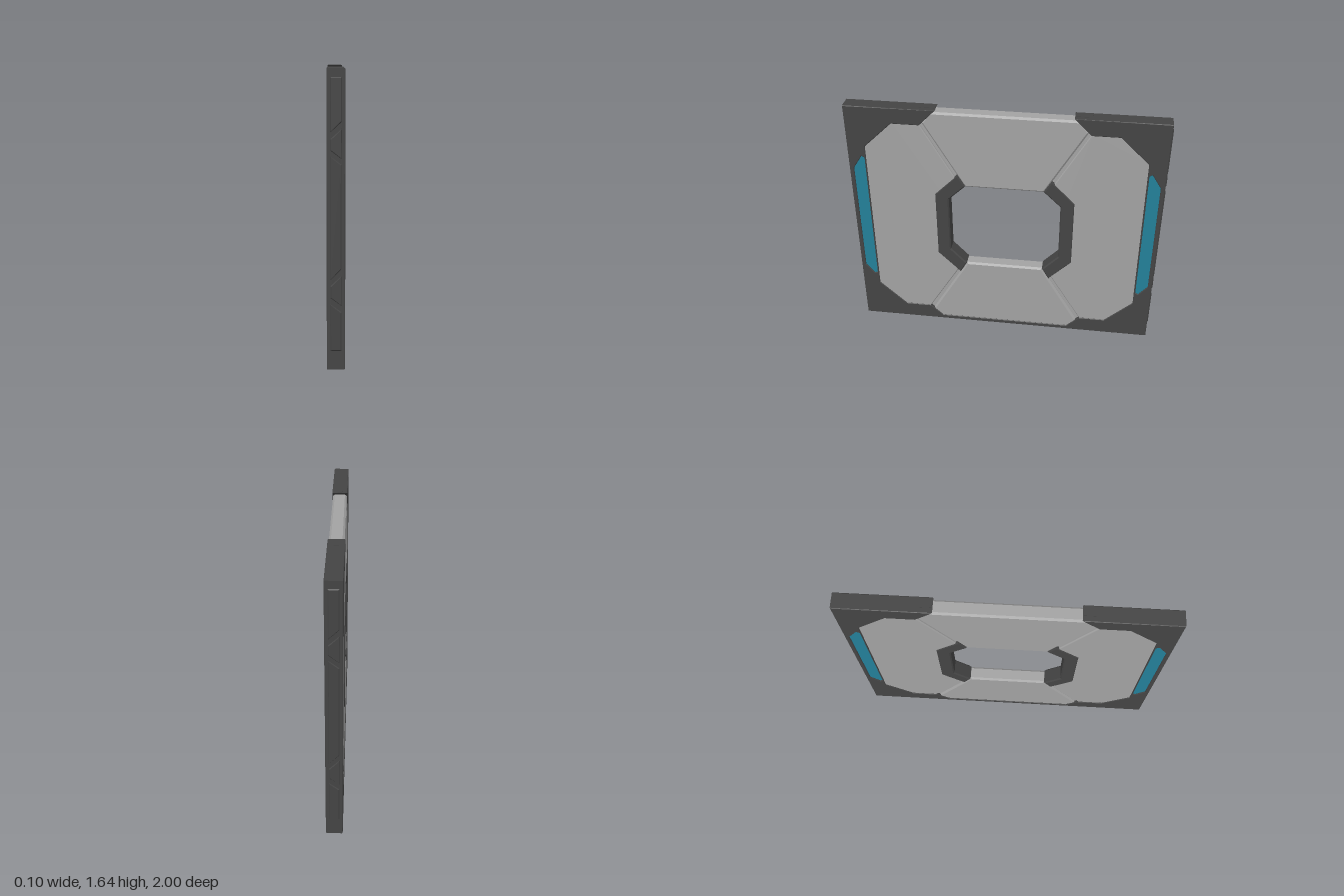
import * as THREE from 'three';

const dark = new THREE.MeshStandardMaterial({ color: 0x444444 });
const grey = new THREE.MeshStandardMaterial({ color: 0xa2a2a2 });
const teal = new THREE.MeshStandardMaterial({ color: 0x237f98 });
dark.name = 'darkFrame';
grey.name = 'greyPanel';
teal.name = 'tealInsert';

const flipZ = (pts) => pts.map(([z, y]) => [-z, y]);
const flipY = (pts) => pts.map(([z, y]) => [z, 1.62 - y]);
const shapeOf = (pts) => new THREE.Shape(pts.map(([a, b]) => new THREE.Vector2(a, b)));

// Bevelled slab, centred on its thickness, keeping its outline
function slab(pts, half, bevel, holes = []) {
  const shape = shapeOf(pts);
  shape.holes = holes.map(shapeOf);
  const geo = new THREE.ExtrudeGeometry(shape, {
    depth: 2 * (half - bevel), bevelEnabled: bevel > 0, bevelSegments: 1,
    bevelSize: bevel, bevelThickness: bevel, bevelOffset: -bevel,
  });
  return geo.translate(0, 0, -(half - bevel));
}

export function createModel() {
  const group = new THREE.Group();
  const add = (name, geo, mat) => {
    const mesh = new THREE.Mesh(geo, mat);
    mesh.name = name;
    group.add(mesh);
    return mesh;
  };
  // Profiles are drawn as (z, y) and extruded across x
  const addSlab = (name, mat, pts, half, bevel, holes) =>
    add(name, slab(pts, half, bevel, holes).rotateY(-Math.PI / 2), mat);

  // Outer frame, open at the top, with a window on each side
  const halfFrame = [
    [0.994, 0], [0.994, 1.635], [0.42, 1.635], [0.525, 1.53], [0.70, 1.53], [0.88, 1.36],
    [0.88, 0.28], [0.70, 0.11], [0.525, 0.11], [0.44, 0.03],
  ];
  const slot = [[0.967, 1.2], [0.909, 1.29], [0.89, 1.28], [0.89, 0.37], [0.909, 0.36], [0.967, 0.43]];
  addSlab('outerFrame', dark, [...halfFrame, ...flipZ(halfFrame).reverse()], 0.05, 0.004,
    [slot, flipZ(slot)]);

  // Top and bottom panels
  const topPanel = [
    [0.46, 1.62], [0.51, 1.545], [0.254, 1.11], [-0.254, 1.11], [-0.51, 1.545], [-0.46, 1.62],
  ];
  addSlab('topPanel', grey, topPanel, 0.045, 0.012);
  addSlab('bottomPanel', grey, flipY(topPanel).map(([z, y]) => [z, Math.max(y, 0.01)]), 0.045, 0.012);

  const sidePanel = [
    [0.53, 1.545], [0.70, 1.545], [0.89, 1.37], [0.89, 0.27], [0.70, 0.095], [0.53, 0.095],
    [0.277, 0.51], [0.375, 0.615], [0.375, 1.01], [0.277, 1.11],
  ];
  const seam = [[0.50, 1.55], [0.54, 1.55], [0.30, 1.13], [0.26, 1.13]];
  const bracket = [
    [0.45, 1.045], [0.30, 1.195], [0.25, 1.115], [0.36, 1.01],
    [0.36, 0.62], [0.255, 0.51], [0.30, 0.43], [0.45, 0.58],
  ];
  for (const [side, place] of [['left', (p) => p], ['right', flipZ]]) {
    addSlab(side + 'SidePanel', grey, place(sidePanel), 0.045, 0.006);
    addSlab(side + 'UpperSeam', grey, place(seam), 0.032, 0);
    addSlab(side + 'LowerSeam', grey, place(flipY(seam)), 0.032, 0);
    addSlab(side + 'OpeningBracket', dark, place(bracket), 0.05, 0.008);
    addSlab(side + 'SlotInsert', teal, place(slot), 0.043, 0);
  }

  // Raised plates on both end edges, drawn as (x, y)
  const plates = [
    [[-0.03, 1.59], [0.03, 1.59], [0.03, 1.36], [-0.03, 1.305]],
    [[-0.03, 1.27], [0.03, 1.325], [0.03, 1.165], [-0.03, 1.21]],
    [[-0.03, 1.18], [0.03, 1.135], [0.03, 0.57], [-0.03, 0.51]],
    [[-0.03, 0.475], [0.03, 0.535], [0.03, 0.365], [-0.03, 0.41]],
    [[-0.03, 0.375], [0.03, 0.33], [0.03, 0.11], [-0.03, 0.11]],
  ];
  for (const turn of [0, Math.PI]) {
    for (const pts of plates) {
      add('edgePlate', slab(pts, 0.008, 0.005).translate(0, 0, 0.992).rotateY(turn), dark);
    }
    // Small tab on top of each upper corner
    add('topTab', new THREE.BoxGeometry(0.03, 0.006, 0.1).translate(0, 1.634, 0.475).rotateY(turn), dark);
  }
  return group;
}
